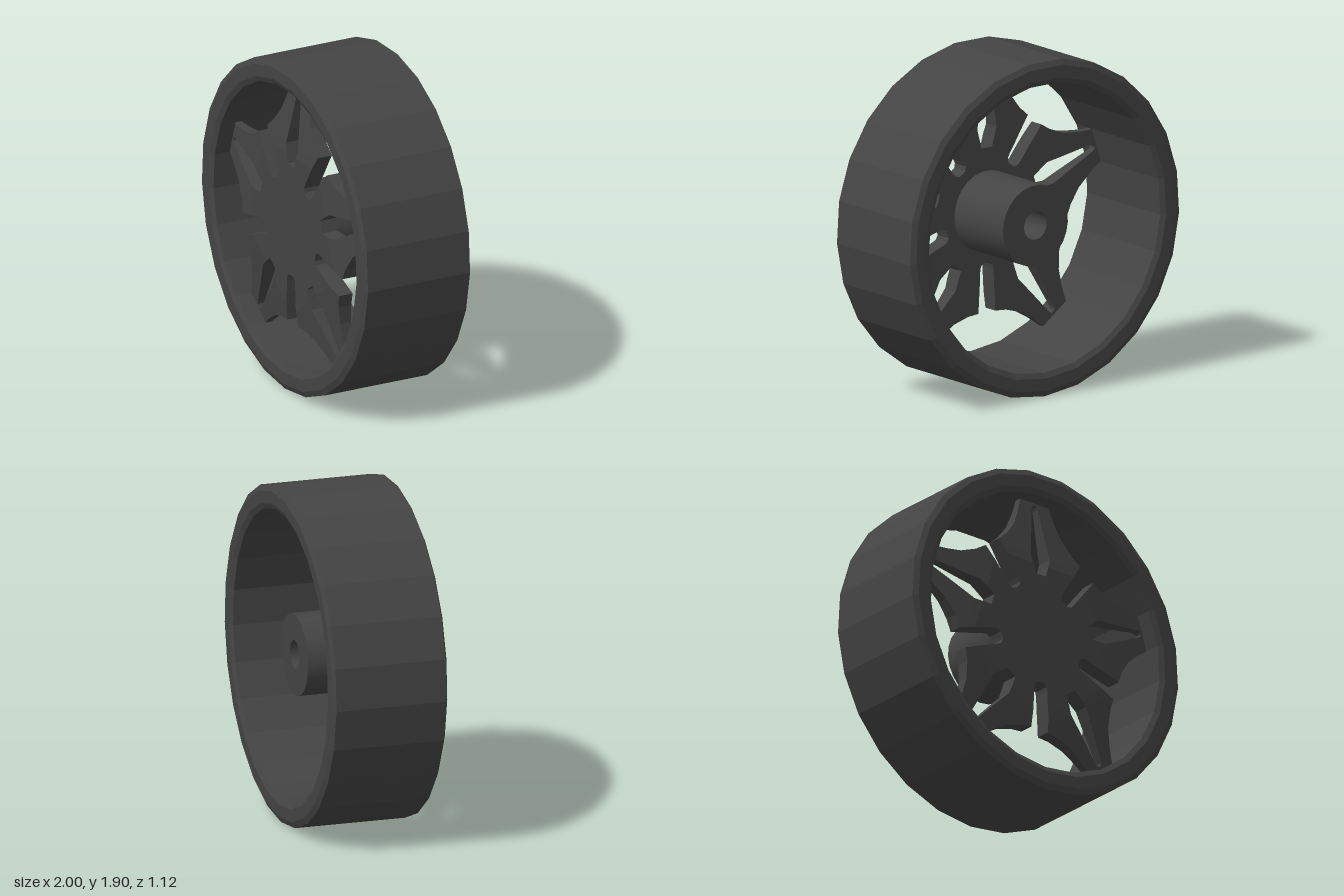
import * as THREE from 'three';
import { toCreasedNormals } from 'three/addons/utils/BufferGeometryUtils.js';

const darkGrey = new THREE.MeshStandardMaterial({ color: 0x444444 });

// Lathe a profile of [radius, depth] about the wheel axis (z), first vertex at the bottom
function turned(profile, sides, crease) {
  const points = profile.map(([r, z]) => new THREE.Vector2(r, z));
  const geometry = new THREE.LatheGeometry(points, sides).rotateX(Math.PI / 2);
  return toCreasedNormals(geometry, crease);
}

// Rows across half an arm: distance from the centre, inner edge, outer edge
const rows = [
  [0, 0, 0], [0.235, 0, 0.171], [0.25, 0, 0.153], [0.275, 0, 0.148], [0.3, 0, 0.16],
  [0.36, 0, 0.2], [0.36, 0.036, 0.2], [0.42, 0.054, 0.238], [0.47, 0.068, 0.27],
  [0.5, 0.063, 0.29], [0.55, 0.055, 0.232], [0.63, 0.043, 0.17], [0.72, 0.03, 0.13],
  [0.78, 0.021, 0.11], [0.795, 0.013, 0.105], [0.8, 0, 0.104], [0.83, 0, 0.098],
];
const back = 0.185;

// The front is flat in the middle and slopes back toward the arm tips
const front = (y) => 0.282 - Math.max(0, y - 0.43) * 0.15;

// Half an arm with its slice of the centre; side is 1 or -1
function halfArm(side) {
  const positions = [];
  const quad = (a, b, c, d) => {
    const order = side > 0 ? [a, b, c, a, c, d] : [a, c, b, a, d, c];
    for (const [x, y, z] of order) positions.push(x * side, y, z);
  };
  for (let i = 0; i < rows.length - 1; i++) {
    const [y0, in0, out0] = rows[i];
    const [y1, in1, out1] = rows[i + 1];
    const f0 = front(y0), f1 = front(y1);
    if (y1 > y0) {
      quad([in0, y0, f0], [out0, y0, f0], [out1, y1, f1], [in1, y1, f1]);
      quad([in0, y0, back], [in1, y1, back], [out1, y1, back], [out0, y0, back]);
      // Notch and wing edge
      if (i > 0) quad([out0, y0, back], [out1, y1, back], [out1, y1, f1], [out0, y0, f0]);
    }
    // Slot wall
    if (in0 + in1 > 0) quad([in0, y0, back], [in0, y0, f0], [in1, y1, f1], [in1, y1, back]);
  }
  const geometry = new THREE.BufferGeometry();
  geometry.setAttribute('position', new THREE.Float32BufferAttribute(positions, 3));
  geometry.computeVertexNormals();
  return geometry;
}

export function createModel() {
  const wheel = new THREE.Group();
  wheel.name = 'wheel';
  const add = (parent, name, geometry) => {
    const mesh = new THREE.Mesh(geometry, darkGrey);
    mesh.name = name;
    parent.add(mesh);
  };

  // Rim with chamfered edges
  add(wheel, 'rim', turned([
    [0.953, -0.32], [0.953, 0.32], [0.92, 0.335], [0.85, 0.335], [0.82, 0.32],
    [0.82, -0.32], [0.85, -0.335], [0.92, -0.335], [0.953, -0.32],
  ], 25, 0.1));

  // Hub with a blind axle hole at the back
  add(wheel, 'hub', turned([
    [0, 0.1], [0.08, 0.1], [0.08, -0.24], [0.23, -0.24], [0.23, 0.2],
  ], 25, 0.6));

  // Five split arms joined in the centre
  const halves = [halfArm(1), halfArm(-1)];
  for (let i = 0; i < 5; i++) {
    const arm = new THREE.Group();
    arm.name = 'spokeArm' + (i + 1);
    add(arm, 'leftHalf', halves[0]);
    add(arm, 'rightHalf', halves[1]);
    arm.rotation.z = (i * Math.PI * 2) / 5;
    wheel.add(arm);
  }

  // Turned slightly to one side
  wheel.rotation.y = -THREE.MathUtils.degToRad(15);
  wheel.position.y = 0.953;
  const model = new THREE.Group();
  model.name = 'spokedWheel';
  model.add(wheel);
  return model;
}
